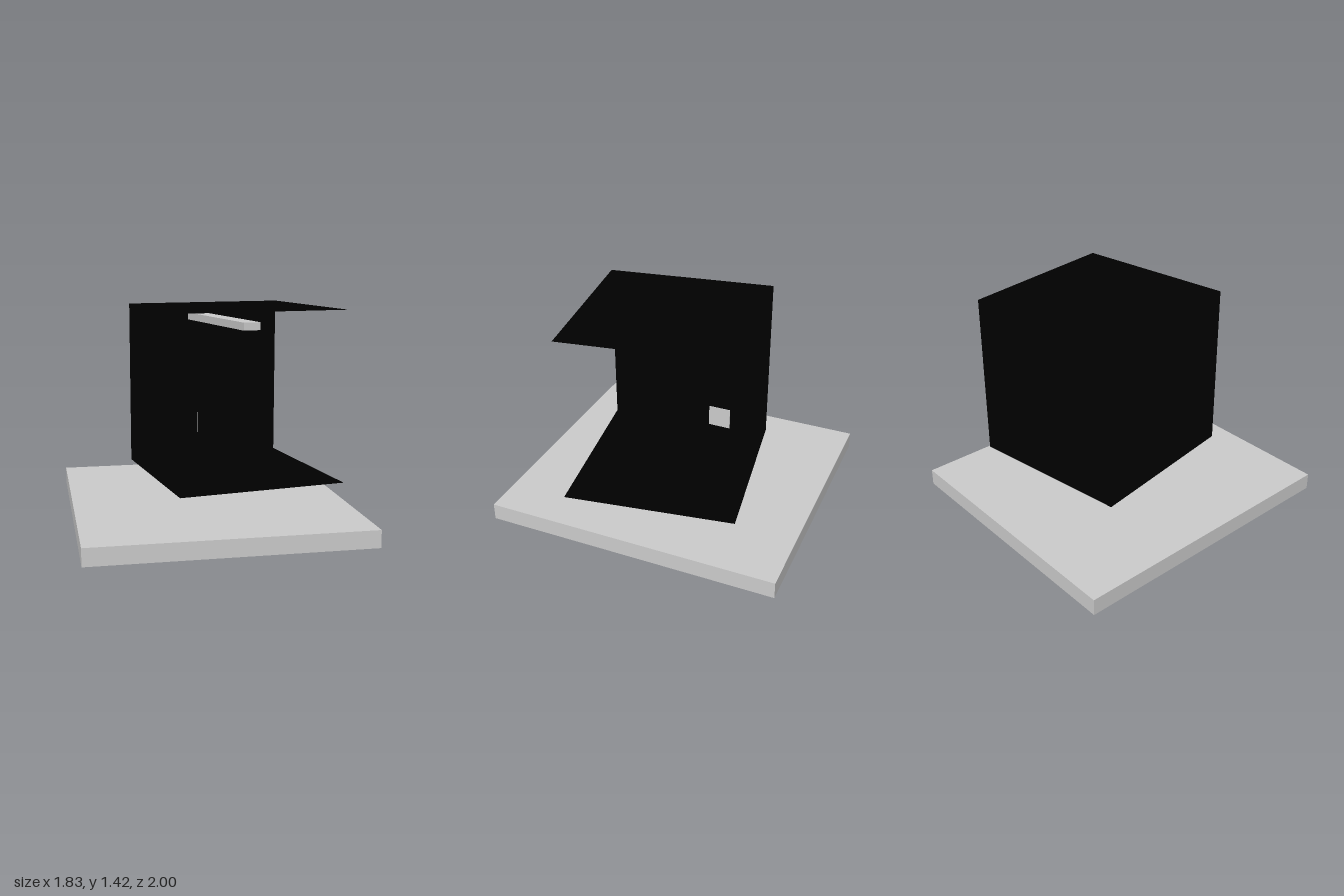
import * as THREE from 'three';

export function createModel() {
  const model = new THREE.Group();
  model.name = 'displayBooth';

  const grey = new THREE.MeshStandardMaterial({ color: 0xcccccc });
  const black = new THREE.MeshStandardMaterial({ color: 0x000000 });
  const blackThin = new THREE.MeshStandardMaterial({ color: 0x000000, side: THREE.DoubleSide });

  // Box given by its lower and upper corners
  function box(name, min, max, material, turn = 0) {
    const size = max.map((v, i) => v - min[i]);
    const mesh = new THREE.Mesh(new THREE.BoxGeometry(...size), material);
    mesh.position.set(...max.map((v, i) => (v + min[i]) / 2));
    mesh.rotation.y = turn;
    mesh.name = name;
    model.add(mesh);
  }

  // Base slab, turned very slightly
  box('baseSlab', [-0.91, 0, -0.997], [0.91, 0.115, 0.997], grey, 0.003);

  // Floating room: thin floor, ceiling, back wall and one side wall; front and +x side are open
  const S = 1.136, h = S / 2;
  const room = new THREE.Group();
  room.name = 'room';
  room.position.set(0.195, 0.284 + h, 0.005);
  room.rotation.y = 0.158;
  const panels = [
    ['floor', [0, -h, 0], [-Math.PI / 2, 0]],
    ['ceiling', [0, h, 0], [-Math.PI / 2, 0]],
    ['backWall', [0, 0, -h], [0, 0]],
    ['sideWall', [-h, 0, 0], [0, Math.PI / 2]],
  ];
  for (const [name, position, [rx, ry]] of panels) {
    const panel = new THREE.Mesh(new THREE.PlaneGeometry(S, S), blackThin);
    panel.name = name;
    panel.position.set(...position);
    panel.rotation.set(rx, ry, 0);
    room.add(panel);
  }
  model.add(room);

  // Long lamp under the ceiling
  box('ceilingLamp', [0.063, 1.3, -0.508], [0.175, 1.35, 0.508], grey, 0.181);

  // Cabinet carrying a small monitor whose screen faces +x
  box('cabinet', [-0.19, 0.286, -0.365], [0, 0.51, -0.175], black);
  box('monitor', [-0.185, 0.515, -0.35], [-0.015, 0.675, -0.19], black);
  box('screen', [-0.02, 0.523, -0.345], [-0.01, 0.665, -0.195], grey);

  // Low seat with a cushion, in front of the screen
  box('seat', [0.03, 0.286, -0.255], [0.225, 0.39, -0.055], black);
  box('cushion', [0.05, 0.39, -0.245], [0.21, 0.42, -0.075], black);

  return model;
}
